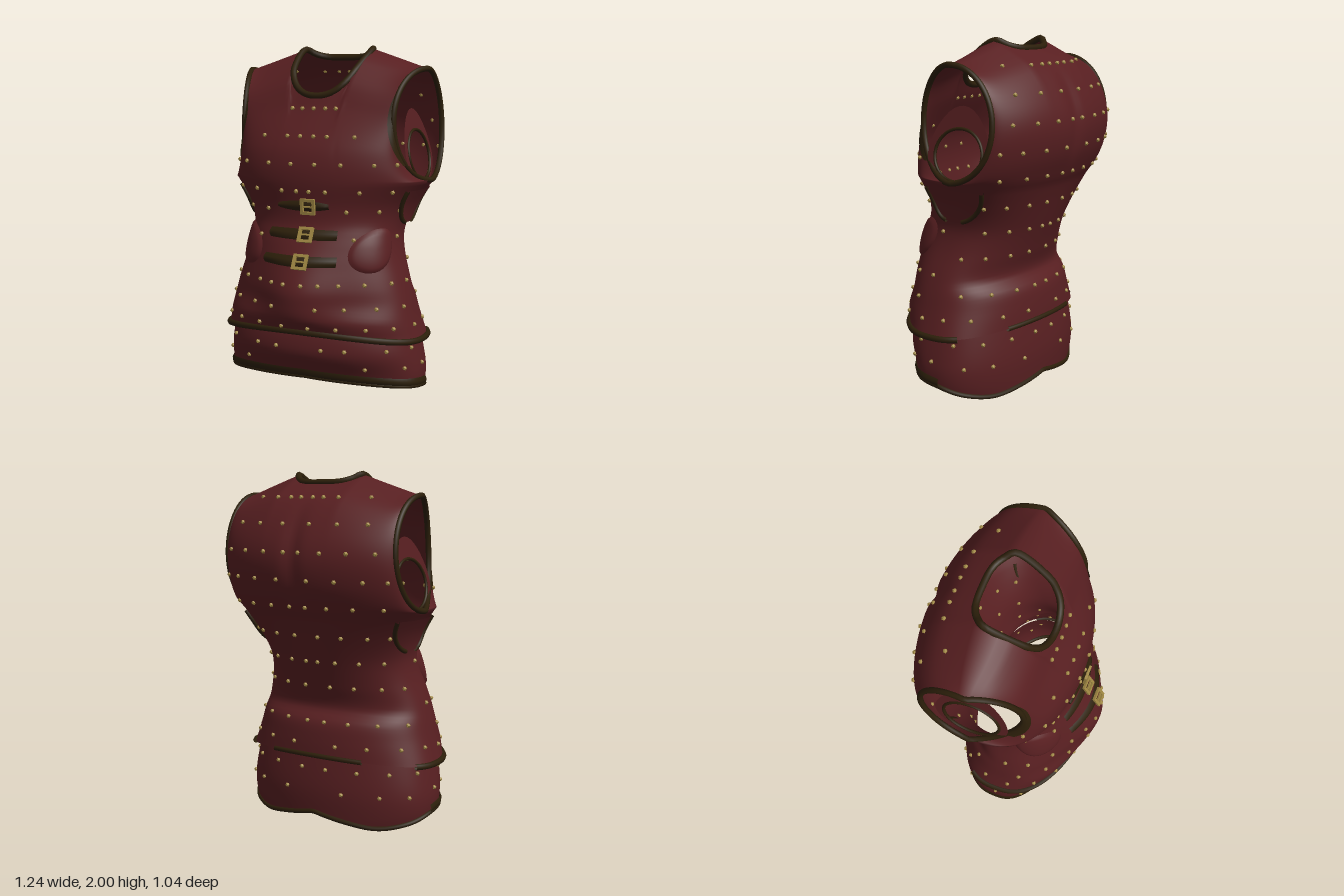
import * as THREE from 'three';
import { mergeGeometries, mergeVertices } from 'three/addons/utils/BufferGeometryUtils.js';

const rad = THREE.MathUtils.degToRad, lerp = THREE.MathUtils.lerp;
const Y0 = 1.25, TOP = 1.985, SHOULDER_X = 0.56, NECK_X = SHOULDER_X * Math.sin(Math.PI / 8);

// Smooth interpolation through [position, value] pairs
function keyed(k) {
  const slope = i => {
    const a = k[Math.max(i - 1, 0)], b = k[Math.min(i + 1, k.length - 1)];
    return (b[1] - a[1]) / (b[0] - a[0]);
  };
  return x => {
    if (x <= k[0][0]) return k[0][1];
    if (x >= k[k.length - 1][0]) return k[k.length - 1][1];
    let i = 0;
    while (x > k[i + 1][0]) i++;
    const h = k[i + 1][0] - k[i][0], t = (x - k[i][0]) / h, t2 = t * t, t3 = t2 * t;
    return (2 * t3 - 3 * t2 + 1) * k[i][1] + (t3 - 2 * t2 + t) * h * slope(i)
      + (3 * t2 - 2 * t3) * k[i + 1][1] + (t3 - t2) * h * slope(i + 1);
  };
}

// Torso profiles by height: half width, front, back, middle depth, roundness, front ridge
const bodyW = keyed([[0.36, 0.605], [0.5, 0.565], [0.6, 0.54], [0.7, 0.51], [0.85, 0.46], [0.95, 0.443], [1.03, 0.456], [1.11, 0.49], [1.18, 0.535], [1.25, 0.588]]);
const bodyF = keyed([[0.36, 0.43], [0.43, 0.45], [0.5, 0.505], [0.6, 0.52], [0.67, 0.515], [0.8, 0.46], [0.9, 0.41], [1, 0.36], [1.1, 0.352],
  [1.25, 0.37], [1.35, 0.365], [1.45, 0.335], [1.65, 0.22], [1.72, 0.19], [1.8, 0.15], [1.9, 0.06], [1.95, -0.01], [TOP, -0.12]]);
const bodyB = keyed([[0.36, -0.302], [0.5, -0.295], [0.6, -0.275], [0.67, -0.22], [0.8, -0.255], [1, -0.33], [1.2, -0.41], [1.25, -0.44],
  [1.4, -0.505], [1.55, -0.52], [1.7, -0.47], [1.85, -0.36], [1.93, -0.23], [TOP, -0.12]]);
const bodyC = keyed([[0.36, 0.05], [0.6, 0.08], [0.9, 0.04], [1.1, -0.05], [1.25, -0.08]]);
const bodyP = keyed([[0.36, 0.8], [0.6, 0.85], [1, 0.8], [1.25, 0.72]]);
const ridge = keyed([[0.44, 0], [0.58, 0.09], [0.7, 0.09], [0.97, 0]]);
const skirtW = keyed([[0, 0.55], [0.05, 0.58], [0.12, 0.595], [0.2, 0.595], [0.36, 0.565], [0.5, 0.53]]);
const skirtF = keyed([[0, 0.3], [0.1, 0.33], [0.18, 0.365], [0.28, 0.425], [0.35, 0.432], [0.44, 0.41], [0.5, 0.36]]);
const skirtB = keyed([[0, -0.295], [0.2, -0.31], [0.4, -0.29], [0.5, -0.27]]);

const section = (a, y, w, f, b, c, p, off) => new THREE.Vector3(
  (w + off) * Math.sin(a), y, c + ((Math.cos(a) >= 0 ? f + off : b - off) - c) * Math.abs(Math.cos(a)) ** p);
function lower(a, y, off = 0) {
  const w = bodyW(y), bump = ridge(y) * (Math.exp(-((w * Math.sin(a) / 0.25) ** 2)) - 1);
  return section(a, y, w, bodyF(y) + bump, bodyB(y), bodyC(y), bodyP(y), off);
}
const skirt = (a, y, off = 0) => section(a, y, skirtW(y), skirtF(y), skirtB(y), 0.05, 0.8, off);

// Height of neckline or shoulder seam above a column
function topY(a, s) {
  const xt = SHOULDER_X * Math.abs(Math.sin(a));
  if (xt >= NECK_X - 1e-6) return TOP - (xt - NECK_X) * 0.332;
  const q = (xt / NECK_X) ** 2;
  return s > 0 ? 1.72 + (TOP - 1.72) * (1 - Math.sqrt(1 - q ** 1.15)) : TOP - 0.045 * (1 - q ** 2);
}
// Share of the column height reached at row v: even in the middle, circular at the armhole
const ease = v => (1 - Math.cos(Math.PI * v)) / 2;
const rise = (a, v) => lerp(v, ease(v), Math.abs(Math.sin(a)) ** 4);
// Chest and back above the armpit; v runs from armpit to shoulder, s is 1 in front and -1 behind
function upper(a, v, s, off = 0) {
  const top = topY(a, s), c = Math.sin(Math.PI * v), g = ease(v);
  const drop = Math.max(0, SHOULDER_X * Math.abs(Math.sin(a)) - NECK_X) * 0.332;
  const y = Y0 + (top - Y0) * rise(a, v), zy = y + drop * v * v;
  const w = lerp(0.588, SHOULDER_X, g) - (s > 0 ? 0.11 : 0.02) * c, ez = -0.08 + s * 0.27 * c;
  const p = lerp(0.72, 0.95, g) + (s > 0 ? 0.1 : 0.5) * c * c;
  const x = (w + off) * Math.sin(a);
  const depth = s > 0 ? bodyF(zy) : bodyB(zy) + 0.02 * c * c * Math.exp(-((x / 0.05) ** 2));
  return new THREE.Vector3(x, y, ez + (depth + s * off - ez) * Math.abs(Math.cos(a)) ** p);
}
function onSurface(a, y, off) {
  if (y < 0.38) return skirt(a, y, off);
  if (y < Y0) return lower(a, y, off);
  const s = Math.cos(a) >= 0 ? 1 : -1, target = (y - Y0) / (topY(a, s) - Y0);
  let lo = 0, hi = 1;
  for (let i = 0; i < 20; i++) {
    const mid = (lo + hi) / 2;
    if (rise(a, mid) < target) lo = mid; else hi = mid;
  }
  return upper(a, lo, s, off);
}
const bodyHem = a => 0.37 + (Math.cos(a) > 0 ? 0.06 : 0.035) * Math.cos(a) ** 2;
const hemKeys = keyed([[0, 0.15], [35, 0.135], [65, 0.115], [90, 0.095], [115, 0.045], [138, 0.017], [160, 0.04], [180, 0.075]]);
const skirtHem = a => hemKeys(Math.abs(THREE.MathUtils.radToDeg(Math.atan2(Math.sin(a), Math.cos(a)))));

// Surface grid from a rule
function grid(nu, nv, f) {
  const pos = [], idx = [], row = nu + 1;
  for (let j = 0; j <= nv; j++) for (let i = 0; i <= nu; i++) pos.push(...f(i / nu, j / nv).toArray());
  for (let j = 0; j < nv; j++) for (let i = 0; i < nu; i++) {
    const p = j * row + i;
    idx.push(p, p + 1, p + row + 1, p, p + row + 1, p + row);
  }
  const geo = new THREE.BufferGeometry();
  geo.setAttribute('position', new THREE.Float32BufferAttribute(pos, 3));
  geo.setIndex(idx);
  return geo;
}
function weld(list) {
  const geo = mergeVertices(mergeGeometries(list), 1e-4);
  geo.computeVertexNormals();
  return geo;
}
const along = (n, f) => Array.from({ length: n + 1 }, (_, i) => f(i / n));
const outline = pts => pts.map(p => new THREE.Vector2(...p));

export function createModel() {
  const group = new THREE.Group();
  const mat = (name, color) => Object.assign(new THREE.MeshStandardMaterial({ color, side: THREE.DoubleSide }), { name });
  const leather = mat('red leather', 0x581f21), trim = mat('dark brown trim', 0x2c1f0a), brass = mat('brass', 0xa08843);
  const add = (name, geo, material) => {
    const m = new THREE.Mesh(geo, material);
    m.name = name;
    group.add(m);
  };
  const piping = (name, pts, r, closed = false) =>
    add(name, new THREE.TubeGeometry(new THREE.CatmullRomCurve3(pts, closed), pts.length * 2, r, 8, closed), trim);

  // Torso shell with arm and neck openings
  add('torso', weld([
    grid(128, 40, (u, v) => {
      const a = u * Math.PI * 2 - Math.PI / 2, h = bodyHem(a);
      return lower(a, h + (Y0 - h) * v);
    }),
    grid(64, 28, (u, v) => upper((u - 0.5) * Math.PI, v, 1)),
    grid(64, 28, (u, v) => upper((u + 0.5) * Math.PI, v, -1)),
  ]), leather);

  // Lower skirt
  add('skirt', weld([grid(96, 16, (u, v) => {
    const a = u * Math.PI * 2, h = skirtHem(a);
    return skirt(a, h + (0.5 - h) * v);
  })]), leather);

  // Edge trims
  const n = Math.PI / 8;
  piping('neckTrim', [
    ...along(20, t => upper(lerp(-n, n, t), 1, 1)),
    ...along(12, t => upper(Math.PI + lerp(-n, n, t), 1, -1)).slice(1, -1),
  ], 0.019, true);
  piping('frontHemTrim', along(48, t => { const a = rad(lerp(-112, 112, t)); return lower(a, bodyHem(a), 0.002); }), 0.018);
  piping('backHemTrim', along(12, t => { const a = rad(lerp(150, 210, t)); return lower(a, bodyHem(a)); }), 0.014);
  piping('skirtHemTrim', along(71, t => { const a = t * 71 / 72 * Math.PI * 2; return skirt(a, skirtHem(a)); }), 0.014, true);
  add('skirtFrontBand', weld([grid(48, 3, (u, v) => {
    const a = rad(lerp(-95, 95, u));
    return skirt(a, skirtHem(a) - 0.008 + 0.055 * v, v > 0.1 && v < 0.9 ? 0.014 : 0.004);
  })]), trim);

  for (const side of [1, -1]) {
    const q = side * Math.PI / 2;
    piping('armholeTrim', [
      ...along(20, t => upper(q, t, 1)),
      ...along(20, t => upper(q, 1 - t, -1)).slice(1, -1),
    ], 0.016, true);
    // Wider facing along the front of the armhole
    add('armholeFacing', weld([grid(4, 24, (u, v) => {
      const width = 6 + 16 * Math.sin(Math.PI * v);
      return upper(side * rad(90 - width * u), lerp(0.25, 0.85, v), 1, 0.008);
    })]), trim);

    // Inner band arching around the armpit opening
    const gusset = (th, v) => {
      const up = Math.max(0, Math.sin(th));
      const y = 1.39 + (0.14 + v * (0.02 + 0.1 * up)) * Math.sin(th);
      return new THREE.Vector3(side * (0.54 - 0.2 * (y - 1.25)), y, -0.09 + (0.16 + 0.05 * v) * Math.cos(th));
    };
    add('armpitBand', weld([grid(40, 4, (u, v) => gusset(u * Math.PI * 2, v))]), leather);
    piping('armpitTrim', along(31, t => gusset(t * 31 / 32 * Math.PI * 2, 0)), 0.009, true);

    // Underarm tab with its trim
    const tab = (th, r) => lower(side * rad(92 + 21 * r * Math.cos(th)), 1.2 - 0.19 * r * Math.sin(th), 0.008 + 0.014 * r * Math.sin(th));
    add('underarmTab', weld([grid(20, 8, (u, v) => tab(u * Math.PI, v))]), leather);
    for (const [from, to] of [[0, 0.42], [0.58, 1]])
      piping('underarmTrim', along(10, t => tab(lerp(from, to, t) * Math.PI, 1)), 0.013);

    // Padded oval at the waist
    add('waistPad', weld([grid(32, 8, (u, v) => {
      const th = u * Math.PI * 2, y = 0.88 + 0.12 * v * Math.sin(th);
      const a = side * rad(57 + 21 * v * Math.cos(th) + 6 * v * Math.sin(th));
      return lower(a, y, 0.028 * Math.sqrt(1 - v * v) - 0.002);
    })]), leather);
  }

  // Front straps with buckles
  const frame = new THREE.Shape(outline([[-0.044, -0.044], [0.044, -0.044], [0.044, 0.044], [-0.044, 0.044]]));
  frame.holes.push(new THREE.Path(outline([[-0.027, -0.028], [-0.027, 0.028], [0.027, 0.028], [0.027, -0.028]])));
  const frameGeo = new THREE.ExtrudeGeometry(frame, { depth: 0.014, bevelEnabled: false });
  const pinGeo = new THREE.BoxGeometry(0.06, 0.009, 0.01).translate(0.005, 0, 0.01);
  for (const [y, half, taper] of [[1.12, 0.15, 0.5], [0.965, 0.2, 0.1], [0.825, 0.215, 0.1]]) {
    add('strap', weld([grid(20, 3, (u, v) => {
      const x = lerp(-half, half, u), h = 0.058 * (1 - taper * (2 * u - 1) ** 2);
      const yy = y + (v - 0.5) * h;
      return lower(Math.asin(x / bodyW(yy)), yy, v > 0.1 && v < 0.9 ? 0.022 : 0.008);
    })]), trim);
    const buckle = new THREE.Group();
    buckle.name = 'buckle';
    for (const [name, geo] of [['buckleFrame', frameGeo], ['bucklePin', pinGeo]]) {
      const m = new THREE.Mesh(geo, brass);
      m.name = name;
      buckle.add(m);
    }
    buckle.position.copy(lower(0.08, y, 0.026));
    buckle.rotation.x = Math.atan((bodyF(y + 0.04) - bodyF(y - 0.04)) / 0.08);
    group.add(buckle);
  }

  // Studs: height, then angles from the middle, mirrored
  const frontRows = [
    [1.65, 0, 8, 16], [1.5, 5, 15, 35], [1.35, 8, 24, 48, 75], [1.2, 4, 14, 35, 58], [1.09, 30, 55, 75],
    [0.94, 40, 62, 85], [0.7, 6, 16, 28, 45, 68, 88], [0.57, 14, 30, 51, 76], [0.46, 8, 24, 42, 62, 84],
    [0.33, 14, 28, 56, 80], [0.225, 38, 68, 90]];
  const backRows = [
    [1.86, 4, 11, 21, 40], [1.72, 9, 27, 48], [1.57, 5, 19, 36, 58], [1.42, 10, 27, 46, 68], [1.27, 5, 18, 34, 55],
    [1.1, 9, 26, 46, 66], [0.95, 5, 19, 38, 60], [0.8, 10, 28, 50, 72], [0.6, 6, 22, 42, 66], [0.47, 14, 34, 58, 80],
    [0.33, 8, 28, 50, 74], [0.2, 18, 42, 64]];
  const stud = new THREE.IcosahedronGeometry(0.0135, 0);
  const studs = (name, rows, back) => {
    const list = [];
    for (const [y, ...angles] of rows) for (const deg of angles) for (const side of deg ? [1, -1] : [1]) {
      const p = onSurface(rad(back ? 180 - side * deg : side * deg), y, 0.003);
      list.push(stud.clone().translate(p.x, p.y, p.z));
    }
    add(name, mergeGeometries(list), brass);
  };
  studs('frontStuds', frontRows, false);
  studs('backStuds', backRows, true);
  return group;
}
